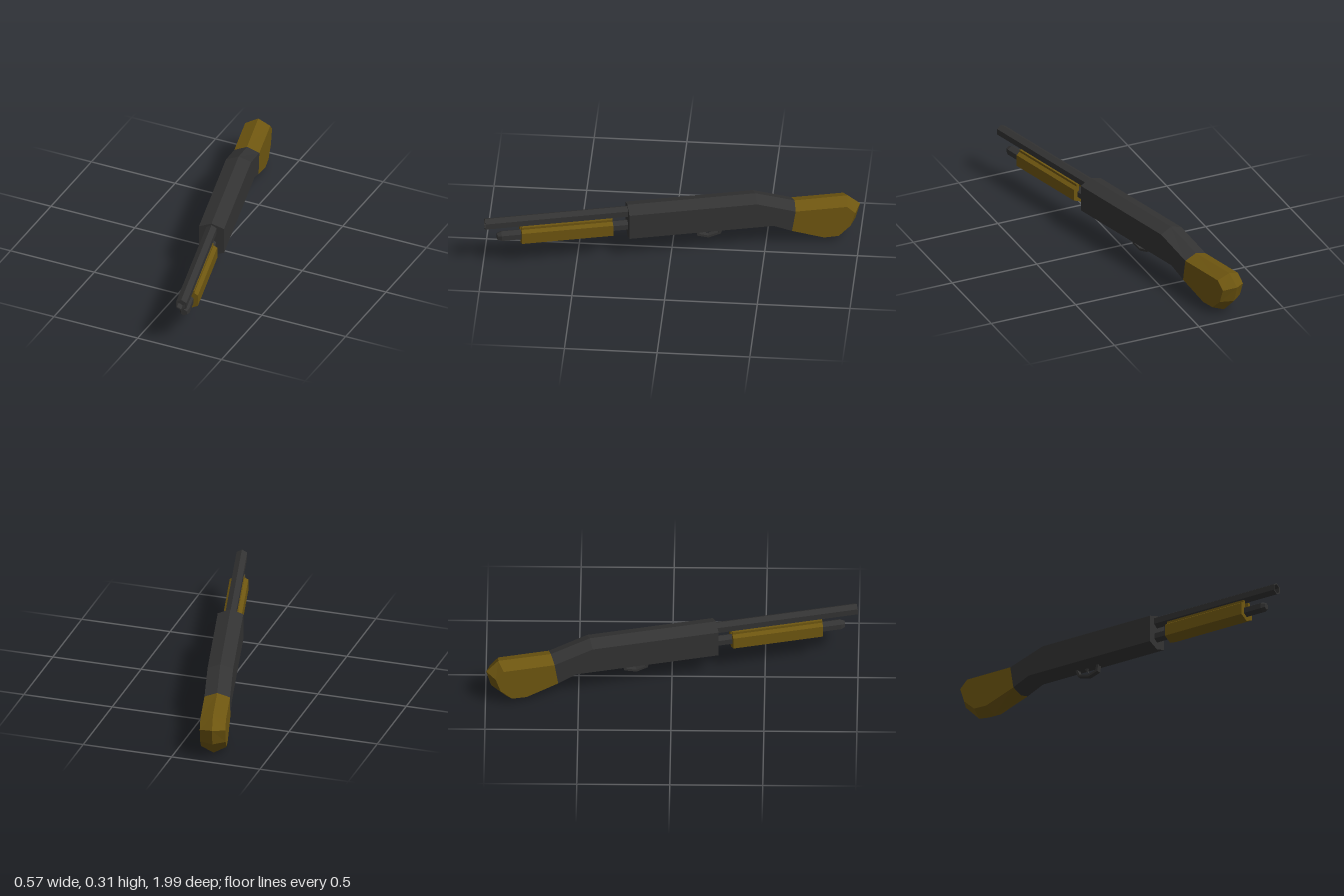
import * as THREE from 'three';

const metal = new THREE.MeshStandardMaterial({ color: 0x333333, flatShading: true });
const wood = new THREE.MeshStandardMaterial({ color: 0x6e5610, flatShading: true });

function add(group, name, geometry, material, y = 0) {
  const mesh = new THREE.Mesh(geometry, material);
  mesh.name = name;
  mesh.position.y = y;
  group.add(mesh);
}

// Solid with flat sides (inner outline at x = +-w) meeting in a ridge (outer outline at x = 0).
// Outlines are [z, y] pairs, running back along the top and forward along the bottom.
function ridgedSolid(outer, inner, w) {
  const pos = [];
  const tri = (a, b, c) => {
    pos.push(...a, ...b, ...c);
    for (const p of [a, c, b]) pos.push(-p[0], p[1], p[2]);
  };
  const O = outer.map(([z, y]) => [0, y, z]);
  const I = inner.map(([z, y]) => [w, y, z]);
  for (let i = 0; i < O.length; i++) {
    const j = (i + 1) % O.length;
    tri(O[i], I[i], I[j]);
    tri(O[i], I[j], O[j]);
  }
  const flat = inner.map(([z, y]) => new THREE.Vector2(z, y));
  for (const [a, b, c] of THREE.ShapeUtils.triangulateShape(flat, [])) tri(I[c], I[b], I[a]);
  const geometry = new THREE.BufferGeometry();
  geometry.setAttribute('position', new THREE.Float32BufferAttribute(pos, 3));
  geometry.computeVertexNormals();
  return geometry;
}

// Six-sided rod along z from [radius, z] pairs
function hexRod(profile) {
  return new THREE.LatheGeometry(profile.map(([r, z]) => new THREE.Vector2(r, z)), 6).rotateX(Math.PI / 2);
}

const toShape = pts => new THREE.Shape(pts.map(([x, y]) => new THREE.Vector2(x, y)));

// Side profile of [z, y] pairs, given thickness across x
function sideExtrude(pts, width) {
  return new THREE.ExtrudeGeometry(toShape(pts), { depth: width, bevelEnabled: false })
    .translate(0, 0, -width / 2).rotateY(-Math.PI / 2);
}

export function createModel() {
  const model = new THREE.Group();
  model.name = 'shortShotgun';
  const body = new THREE.Group();
  body.name = 'body';
  model.add(body);

  // Receiver, bending down at the back to meet the grip
  add(body, 'receiver', ridgedSolid(
    [[0.245, 0.316], [-0.45, 0.316], [-0.665, 0.246], [-0.635, 0.073], [-0.54, 0.117], [0.245, 0.117]],
    [[0.245, 0.29], [-0.45, 0.29], [-0.66, 0.22], [-0.64, 0.096], [-0.54, 0.14], [0.245, 0.14]],
    0.069), metal);

  // Grip
  add(body, 'grip', ridgedSolid(
    [[-0.665, 0.246], [-0.955, 0.248], [-1.022, 0.188], [-0.995, 0.095], [-0.908, 0.006], [-0.81, 0.002], [-0.635, 0.073]],
    [[-0.66, 0.22], [-0.94, 0.22], [-0.985, 0.175], [-0.958, 0.095], [-0.895, 0.036], [-0.815, 0.034], [-0.64, 0.096]],
    0.069), wood);

  // Barrel with a recessed muzzle, and the magazine tube below it
  add(body, 'barrel', hexRod(
    [[0, 0.22], [0.033, 0.22], [0.033, 1.022], [0.026, 1.022], [0.026, 0.98], [0, 0.98]]), metal, 0.274);
  add(body, 'magazineTube', hexRod(
    [[0, 0.22], [0.03, 0.22], [0.03, 0.932], [0.019, 0.955], [0, 0.955]]), metal, 0.187);

  // Pump handle with a groove along the top
  const half = [[0.05, 0.157], [0.05, 0.222], [0.03, 0.235], [0.03, 0.248], [0.015, 0.248], [0.015, 0.2]];
  const section = [[0, 0.134], ...half, ...half.map(([x, y]) => [-x, y]).reverse()];
  add(body, 'pumpHandle', new THREE.ExtrudeGeometry(toShape(section), { depth: 0.496, bevelEnabled: false })
    .translate(0, 0, 0.33), wood);

  // Trigger guard loop and trigger
  add(body, 'triggerGuard', sideExtrude([
    [-0.125, 0.13], [-0.133, 0.083], [-0.195, 0.064], [-0.262, 0.083], [-0.278, 0.13],
    [-0.264, 0.13], [-0.25, 0.092], [-0.195, 0.077], [-0.146, 0.092], [-0.139, 0.13]], 0.028), metal);
  add(body, 'trigger', sideExtrude([
    [-0.195, 0.13], [-0.225, 0.13], [-0.213, 0.105], [-0.198, 0.092], [-0.203, 0.108]], 0.012), metal);

  body.position.x = 0.014;
  model.rotation.y = 0.238;
  const root = new THREE.Group();
  root.add(model);
  return root;
}
